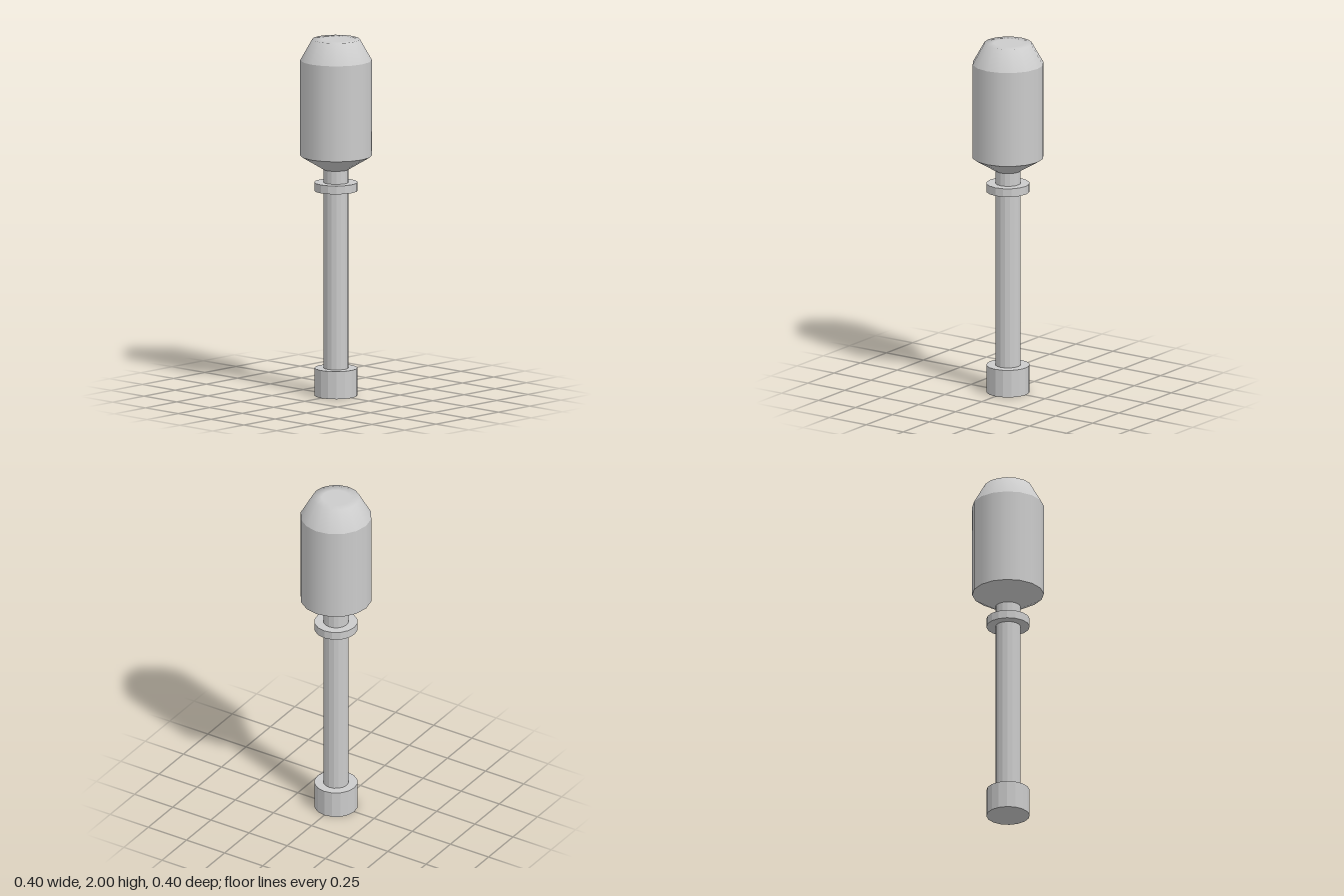
import * as THREE from 'three';

const SIDES = 16;

export function createModel() {
  const group = new THREE.Group();
  const smooth = new THREE.MeshStandardMaterial({ color: 0xcccccc });
  const faceted = new THREE.MeshStandardMaterial({ color: 0xcccccc, flatShading: true });

  const add = (name, geometry, material) => {
    const mesh = new THREE.Mesh(geometry, material);
    mesh.name = name;
    group.add(mesh);
  };
  // Upright cylinder between two heights
  const rod = (name, radius, y0, y1) => {
    const geometry = new THREE.CylinderGeometry(radius, radius, y1 - y0, SIDES);
    add(name, geometry.translate(0, (y0 + y1) / 2, 0), faceted);
  };

  rod('foot', 0.12, 0, 0.155);
  rod('shaft', 0.07, 0.155, 1.28);
  rod('collar', 0.12, 1.15, 1.197);

  // Handle: repeated profile points keep an edge sharp, the top rim stays soft
  const profile = [
    [0, 1.27], [0.07, 1.27], [0.07, 1.27],
    [0.198, 1.347], [0.198, 1.347],
    [0.198, 1.883], [0.198, 1.883],
    [0.132, 2], [0.08, 2], [0, 2],
  ].map(([r, y]) => new THREE.Vector2(r, y));
  add('handle', new THREE.LatheGeometry(profile, SIDES), smooth);

  return group;
}
